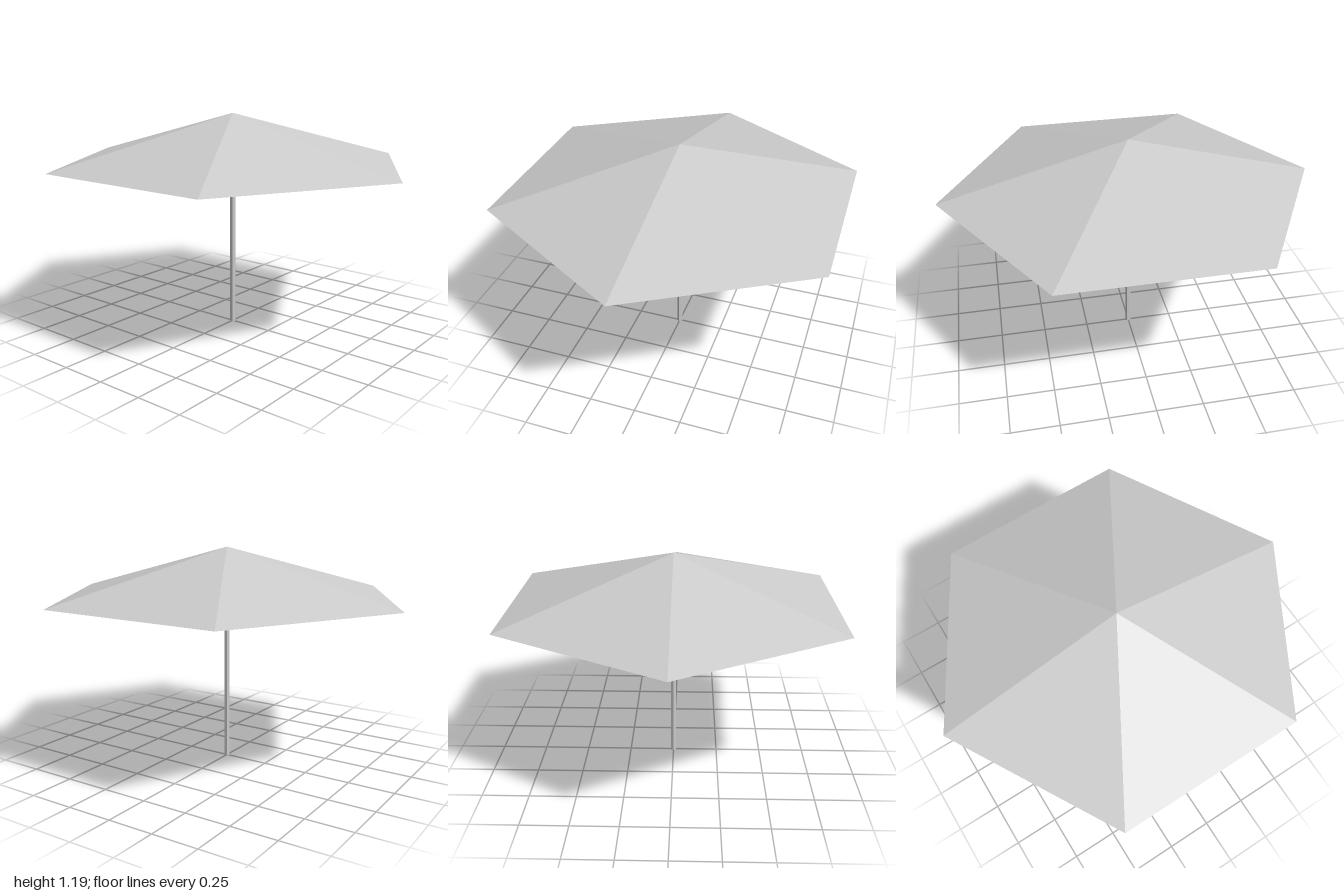
import * as THREE from 'three';

export function createModel() {
  const group = new THREE.Group();
  group.name = 'parasol';

  const lightGrey = new THREE.MeshStandardMaterial({
    color: 0xcccccc, flatShading: true, side: THREE.DoubleSide,
  });
  lightGrey.name = 'lightGrey';

  const sides = 6;
  const rimY = 0.915, apexY = 1.185, poleTop = 1.14;

  // Thin six-panel canopy, open underneath
  const canopy = new THREE.Mesh(
    new THREE.ConeGeometry(1, apexY - rimY, sides, 1, true), lightGrey);
  canopy.name = 'canopy';
  canopy.position.y = (rimY + apexY) / 2;

  // Slim hexagonal pole, ending just below the canopy's peak
  const pole = new THREE.Mesh(
    new THREE.CylinderGeometry(0.016, 0.016, poleTop, sides), lightGrey);
  pole.name = 'pole';
  pole.position.y = poleTop / 2;

  group.add(canopy, pole);
  return group;
}
